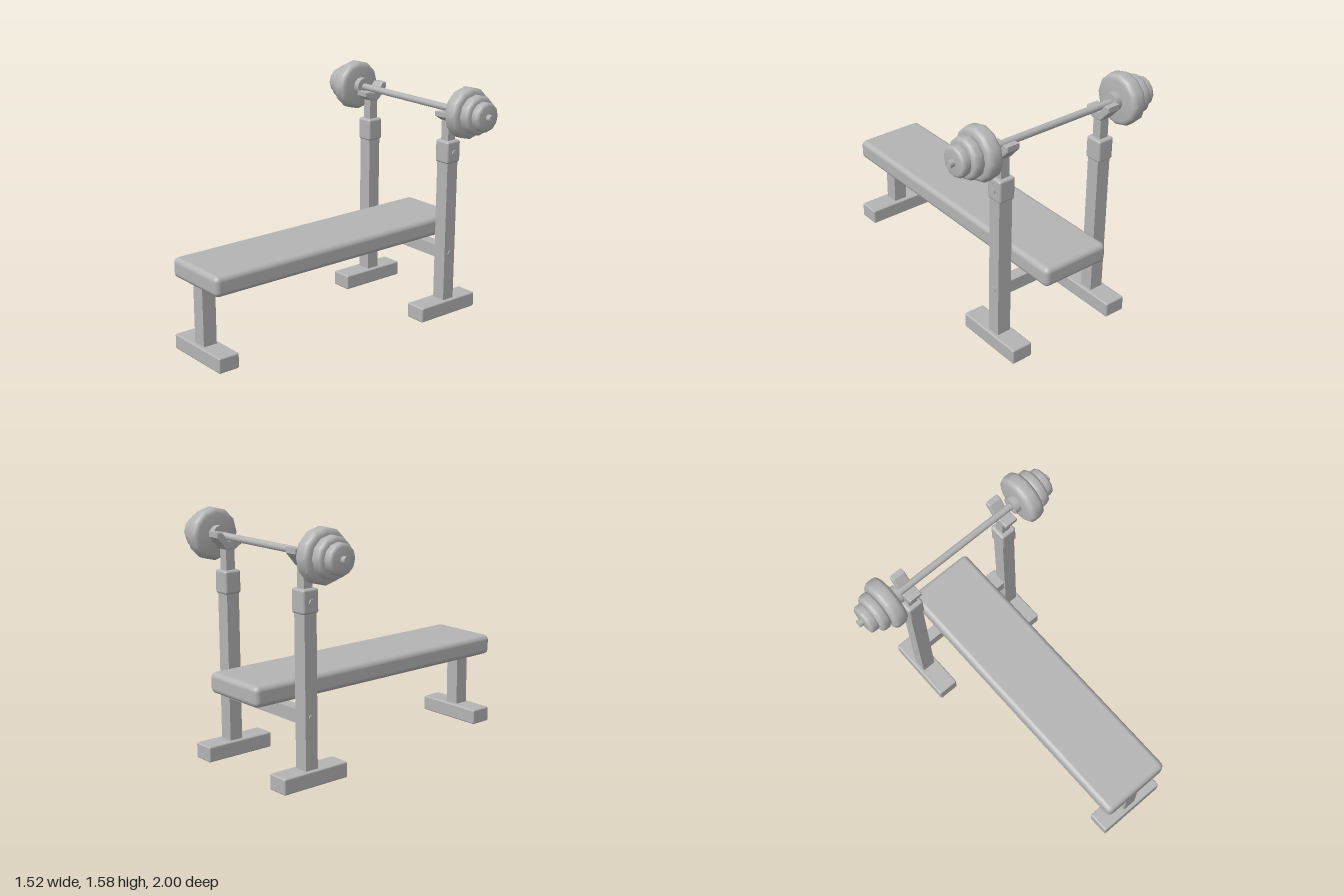
import * as THREE from 'three';
import { toCreasedNormals } from 'three/addons/utils/BufferGeometryUtils.js';
import { RoundedBoxGeometry } from 'three/addons/geometries/RoundedBoxGeometry.js';

const RACK_Z = -0.742;
const BAR_Y = 1.412;

export function createModel() {
  const model = new THREE.Group();
  model.name = 'weightBench';
  const grey = new THREE.MeshStandardMaterial({ color: 0xb4b4b4 });
  grey.name = 'plain grey';

  const add = (name, geometry, parent = model) => {
    const mesh = new THREE.Mesh(geometry, grey);
    mesh.name = name;
    parent.add(mesh);
    return mesh;
  };

  // Box given by its ranges on each axis, with optional rounded edges
  const box = (name, [x0, x1], [y0, y1], [z0, z1], radius = 0, parent = model) => {
    const size = [x1 - x0, y1 - y0, z1 - z0];
    const geometry = radius
      ? new RoundedBoxGeometry(...size, 3, radius)
      : new THREE.BoxGeometry(...size);
    add(name, geometry, parent).position.set((x0 + x1) / 2, (y0 + y1) / 2, (z0 + z1) / 2);
  };

  // Cylinder lying along x
  const rod = (name, x0, x1, y, radius, sides, parent = model) => {
    const geometry = new THREE.CylinderGeometry(radius, radius, x1 - x0, sides).rotateZ(-Math.PI / 2);
    add(name, geometry, parent).position.set((x0 + x1) / 2, y, RACK_Z);
  };

  // Weight plate: a disc with a rounded rim, turned around x
  const plate = (name, x0, x1, radius, fillet, parent) => {
    const points = [new THREE.Vector2(0, x0)];
    for (const [centre, start] of [[x0 + fillet, -Math.PI / 2], [x1 - fillet, 0]]) {
      for (let i = 0; i <= 4; i++) {
        const a = start + (i / 4) * Math.PI / 2;
        points.push(new THREE.Vector2(radius - fillet + fillet * Math.cos(a), centre + fillet * Math.sin(a)));
      }
    }
    points.push(new THREE.Vector2(0, x1));
    const geometry = toCreasedNormals(new THREE.LatheGeometry(points, 12), 0.6).rotateZ(-Math.PI / 2);
    // The half turn about x keeps the rim corners on the axes
    add(name, geometry, parent).position.set(0, BAR_Y, RACK_Z);
  };

  // Bench
  box('pad', [-0.24, 0.24], [0.487, 0.62], [-1, 1], 0.035);
  box('frontLeg', [-0.048, 0.048], [0.09, 0.5], [0.88, 0.975]);
  box('frontFoot', [-0.24, 0.248], [0.004, 0.105], [0.852, 1], 0.01);
  box('crossBar', [-0.345, 0.345], [0.387, 0.472], [-0.785, -0.705]);

  // Cradle profile: x runs backward, y upward, high lip behind the bar
  const profile = new THREE.Shape([
    [-0.032, 0], [0.032, 0], [0.098, 0.075], [0.098, 0.1], [0.07, 0.1],
    [0.024, 0.042], [-0.024, 0.042], [-0.05, 0.048], [-0.08, 0.048], [-0.08, 0.03],
  ].map(([x, y]) => new THREE.Vector2(x, y)));

  // One half of the rack and the weights, made for the left and the right
  for (const side of [1, -1]) {
    const half = new THREE.Group();
    half.name = side > 0 ? 'leftSide' : 'rightSide';
    model.add(half);

    const span = (a, b) => (side > 0 ? [a, b] : [-b, -a]);
    const sideRod = (name, a, b, y, r, n) => rod(name, ...span(a, b), y, r, n, half);
    const sidePlate = (name, a, b, r, f) => plate(name, ...span(a, b), r, f, half);

    box('rackFoot', span(0.31, 0.455), [0.004, 0.105], [-0.965, -0.482], 0.01, half);
    box('upright', span(0.335, 0.43), [0.09, 1.08], [-0.785, -0.695], 0, half);
    box('uprightSleeve', span(0.325, 0.44), [1.055, 1.205], [-0.8, -0.682], 0.016, half);
    box('innerPost', span(0.35, 0.413), [1.19, 1.345], [-0.774, -0.71], 0, half);
    sideRod('lowerBolt', 0.41, 0.437, 0.43, 0.019, 10);
    sideRod('upperBolt', 0.42, 0.449, 1.125, 0.019, 10);

    const cradle = add('barCradle', new THREE.ExtrudeGeometry(profile, {
      depth: 0.078, bevelSize: 0.007, bevelThickness: 0.007, bevelSegments: 2,
    }).translate(0, 0, -0.039).rotateY(Math.PI / 2), half);
    cradle.position.set(side * 0.383, 1.343, RACK_Z);

    sideRod('plateStop', 0.448, 0.495, BAR_Y, 0.06, 12);
    sidePlate('largePlate', 0.49, 0.597, 0.168, 0.035);
    sidePlate('mediumPlate', 0.59, 0.67, 0.13, 0.028);
    sidePlate('smallPlate', 0.66, 0.727, 0.096, 0.02);
  }

  // Bar through all the plates
  rod('bar', -0.758, 0.758, BAR_Y, 0.023, 12);
  return model;
}
